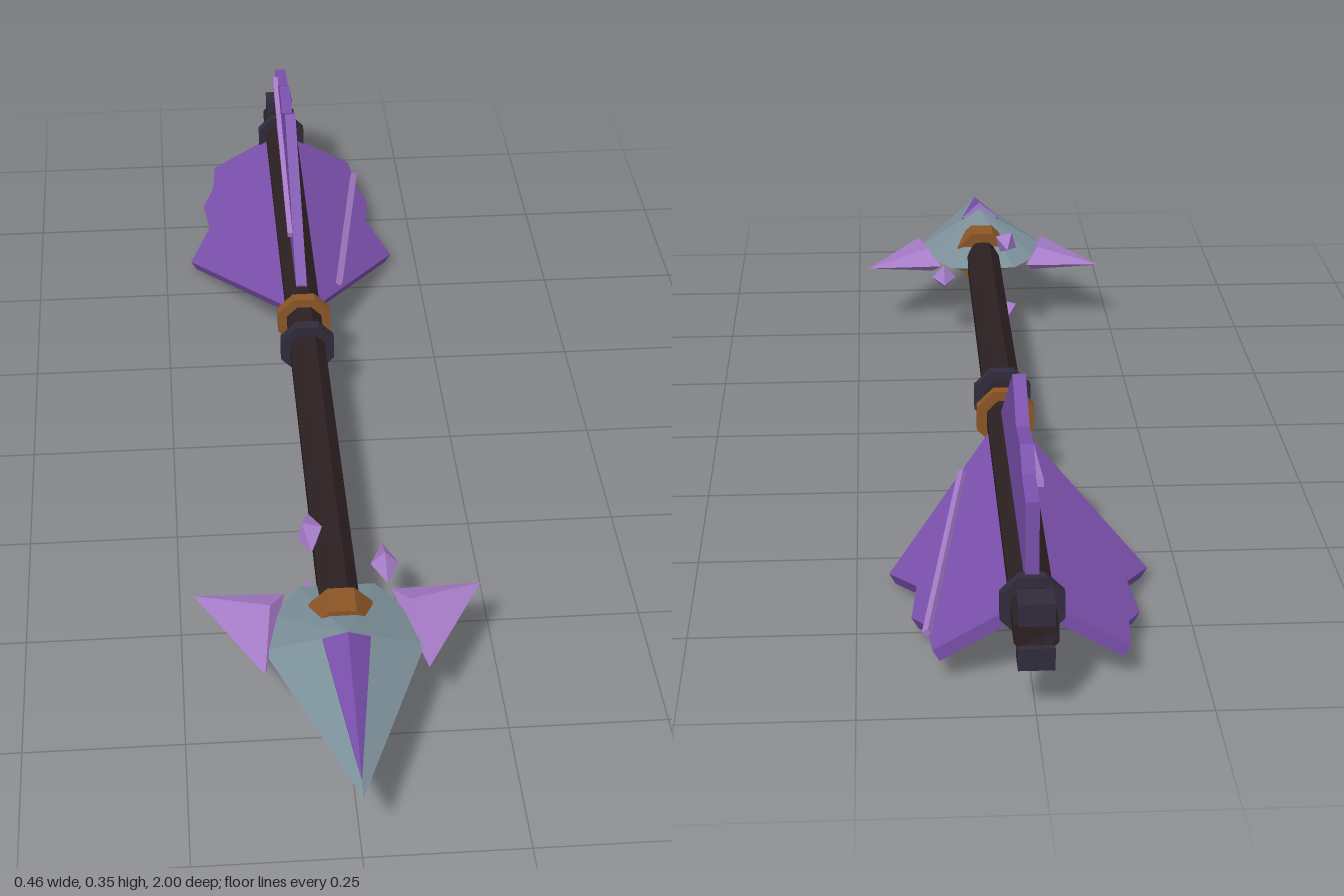
import * as THREE from 'three';
import { ConvexGeometry } from 'three/addons/geometries/ConvexGeometry.js';

export function createModel() {
  const model = new THREE.Group();
  model.name = 'arrow';
  const AXIS = 0.122; // height of the shaft axis

  const mat = (name, color) => {
    const m = new THREE.MeshStandardMaterial({ color, flatShading: true });
    m.name = name;
    return m;
  };
  const wood = mat('darkWood', 0x2c2022);
  const iron = mat('darkIron', 0x302c3c);
  const bronze = mat('bronze', 0x8c5626);
  const steel = mat('greySteel', 0x7c909a);
  const purple = mat('purple', 0x7a50ac);
  const crystal = mat('paleCrystal', 0xa67cc8);

  const add = (name, geometry, material, parent = model) => {
    const mesh = new THREE.Mesh(geometry, material);
    mesh.name = name;
    parent.add(mesh);
    return mesh;
  };
  // Prism along the shaft between two z values
  const rod = (name, radius, z0, z1, sides, material) => {
    const g = new THREE.CylinderGeometry(radius, radius, z1 - z0, sides);
    g.rotateY(Math.PI / sides).rotateX(Math.PI / 2);
    add(name, g, material).position.set(0, AXIS, (z0 + z1) / 2);
  };
  const hull = (name, points, material) =>
    add(name, new ConvexGeometry(points.map((p) => new THREE.Vector3(...p))), material);

  // Shaft with its bands
  rod('shaft', 0.034, -0.99, 0.62, 8, wood);
  rod('ironBand', 0.052, -0.14, -0.12, 8, iron);
  rod('bronzeBand', 0.052, -0.23, -0.21, 8, bronze);
  rod('rearBand', 0.05, -0.91, -0.892, 8, iron);
  rod('headCollar', 0.054, 0.6, 0.655, 8, bronze);

  // Nock: two prongs behind the shaft
  rod('nockCore', 0.03, -0.99, -0.95, 6, iron);
  for (const s of [-1, 1]) {
    add('nockProng', new THREE.BoxGeometry(0.052, 0.034, 0.046), iron)
      .position.set(0, AXIS + s * 0.034, -0.977);
  }

  // Arrowhead
  hull('arrowhead', [
    [0, AXIS, 1], [0, 0.186, 0.72], [0, 0.06, 0.68],
    [-0.125, AXIS, 0.68], [0.125, AXIS, 0.68],
    [-0.105, AXIS, 0.6], [0.105, AXIS, 0.6],
    [-0.06, AXIS, 0.535], [0.06, AXIS, 0.535],
  ], steel);
  // Raised inlay on the upper ridge
  hull('ridgeInlay', [
    [0, 0.132, 0.975], [0, 0.197, 0.73], [0, 0.15, 0.73],
    [-0.037, 0.17, 0.712], [0.037, 0.17, 0.712],
    [-0.032, 0.145, 0.74], [0.032, 0.145, 0.74],
  ], purple);
  // Crystal barbs on both sides of the head
  for (const s of [-1, 1]) {
    hull('barb', [
      [s * 0.228, AXIS, 0.545], [s * 0.125, AXIS, 0.735], [s * 0.085, AXIS, 0.55],
      [s * 0.11, 0.143, 0.6], [s * 0.1, 0.096, 0.6],
    ], crystal);
  }

  // Crystals floating around the shaft
  for (let i = 0; i < 3; i++) {
    const a = (i * Math.PI * 2) / 3;
    const shard = add('floatingCrystal', new THREE.OctahedronGeometry(1), crystal);
    shard.scale.set(0.023, 0.023, 0.05);
    shard.rotation.z = a;
    shard.position.set(0.081 * Math.cos(a), AXIS + 0.081 * Math.sin(a), 0.487);
  }

  // Fletching: outline as [distance behind centre, distance from the axis]
  const outline = [[0.28, 0.02], [0.28, 0.034], [0.59, 0.225], [0.68, 0.178],
    [0.77, 0.189], [0.82, 0.164], [0.9, 0.157], [0.9, 0.02]];
  const shape = new THREE.Shape(outline.map(([d, r]) => new THREE.Vector2(d, r)));
  const finGeometry = new THREE.ExtrudeGeometry(shape, { depth: 0.02, bevelEnabled: false });
  finGeometry.translate(0, 0, -0.01).rotateY(Math.PI / 2);
  // Vein along one face of each fin
  const start = new THREE.Vector2(0.38, 0.083), end = new THREE.Vector2(0.85, 0.163);
  const span = end.clone().sub(start), mid = start.clone().add(end).multiplyScalar(0.5);
  const veinGeometry = new THREE.BoxGeometry(0.01, 0.01, span.length());
  veinGeometry.rotateX(Math.atan2(span.y, span.x)).translate(-0.014, mid.y, -mid.x);
  for (let i = 0; i < 3; i++) {
    const fin = new THREE.Group();
    fin.name = 'fletching';
    fin.position.y = AXIS;
    fin.rotation.z = (i * Math.PI * 2) / 3;
    add('fin', finGeometry, purple, fin);
    add('finVein', veinGeometry, crystal, fin);
    model.add(fin);
  }
  return model;
}
